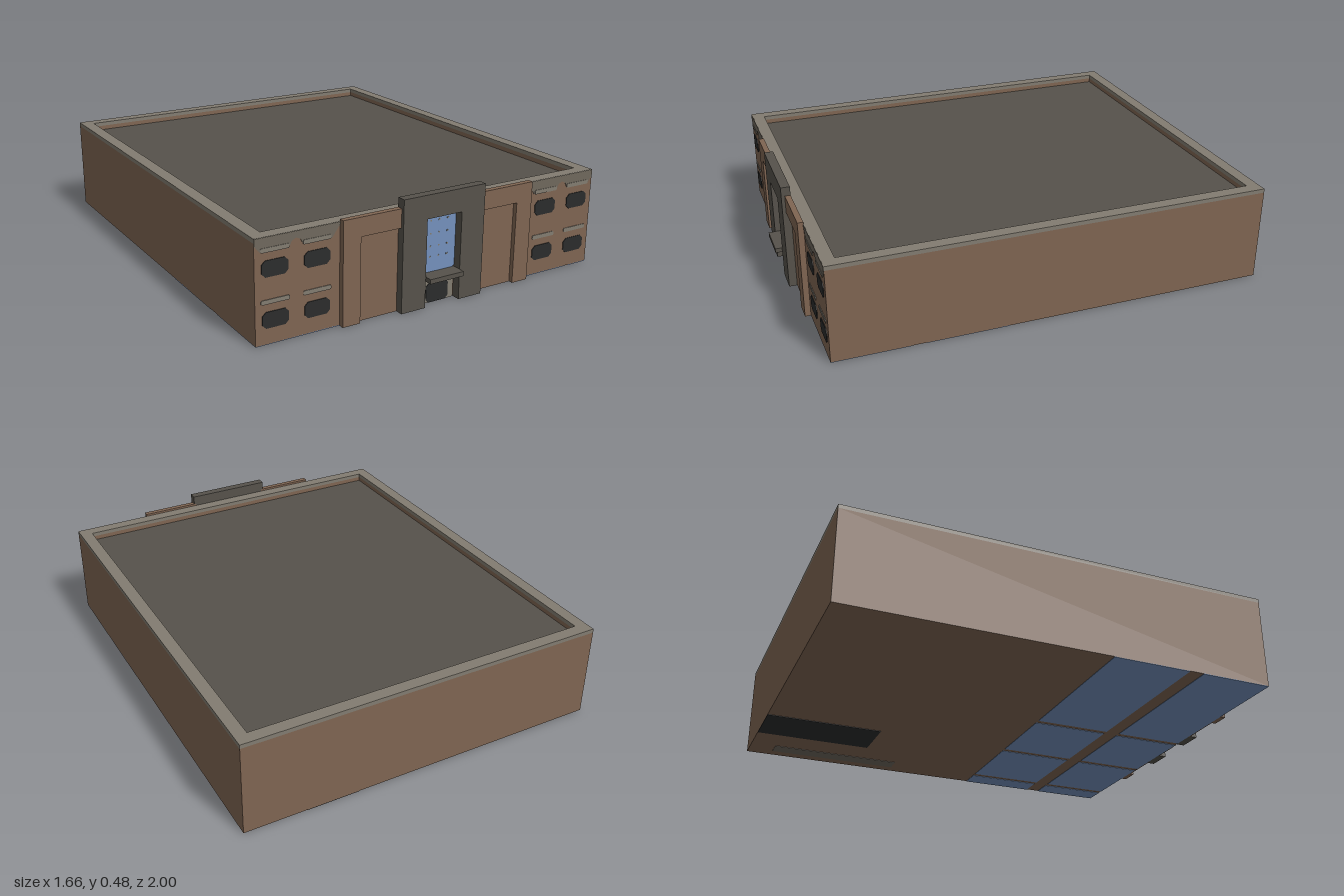
import * as THREE from 'three';

const mat = (name, color) => {
  const m = new THREE.MeshStandardMaterial({ color });
  m.name = name;
  return m;
};

export function createModel() {
  const root = new THREE.Group();
  root.name = 'building';
  const brick = mat('brick', 0x7f6552);
  const trim = mat('stoneTrim', 0x827c71);
  const band = mat('weatheredStone', 0x6f685d);
  const dark = mat('darkConcrete', 0x56524b);
  const black = mat('windowBlack', 0x2b2c2c);
  const blue = mat('blueGlass', 0x7491bc);

  const add = (name, geo, material, parent = root) => {
    const m = new THREE.Mesh(geo, material);
    m.name = name;
    parent.add(m);
    return m;
  };
  // Box given by its minimum and maximum on each axis
  const box = (name, material, x0, x1, y0, y1, z0, z1, parent = root) => {
    const m = add(name, new THREE.BoxGeometry(x1 - x0, y1 - y0, z1 - z0), material, parent);
    m.position.set((x0 + x1) / 2, (y0 + y1) / 2, (z0 + z1) / 2);
    return m;
  };
  const polygon = pts => new THREE.Shape(pts.map(p => new THREE.Vector2(...p)));
  const extrude = (shape, depth) => new THREE.ExtrudeGeometry(shape, { depth, bevelEnabled: false });
  // Thin upright plate with cut corners
  const plate = (name, material, cx, cy, w, h, c, z, parent = root) => {
    const a = w / 2, b = h / 2;
    const s = polygon([[-a + c, -b], [a - c, -b], [a, -b + c], [a, b - c],
      [a - c, b], [-a + c, b], [-a, b - c], [-a, -b + c]]);
    const m = add(name, extrude(s, 0.003), material, parent);
    m.position.set(cx, cy, z);
    return m;
  };

  const W = 0.83, BACK = -1, FRONT = 0.93, RIM = 0.055;

  // Outer walls and parapet cap: rectangular rings raised upwards
  const ring = (name, material, y0, y1) => {
    const d = (FRONT - BACK) / 2, a = W - RIM, b = d - RIM;
    const s = polygon([[-W, -d], [W, -d], [W, d], [-W, d]]);
    s.holes.push(polygon([[-a, -b], [-a, b], [a, b], [a, -b]]));
    const m = add(name, extrude(s, y1 - y0).rotateX(-Math.PI / 2), material);
    m.position.set(0, y0, (FRONT + BACK) / 2);
  };
  ring('outerWalls', brick, 0.002, 0.412);
  ring('parapetCap', trim, 0.412, 0.43);
  box('roof', dark, -W + RIM, W - RIM, 0.36, 0.392, BACK + RIM, FRONT - RIM);
  box('floor', brick, -W + RIM, W - RIM, 0.002, 0.02, BACK + RIM, FRONT - RIM);

  // Wing facades, mirrored left and right
  for (const side of [-1, 1]) {
    const wing = new THREE.Group();
    wing.name = side > 0 ? 'leftWing' : 'rightWing';
    root.add(wing);
    for (const x of [0.565, 0.745]) {
      for (const y of [0.1, 0.305]) {
        plate('window', black, side * x, y, 0.112, 0.066, 0.015, FRONT, wing);
        plate('lintel', trim, side * x, y + 0.074, 0.122, 0.018, 0.004, FRONT + 0.001, wing);
      }
    }
    const pts = [[0.465, 0.429], [0.465, 0.42], [0.5, 0.372], [0.625, 0.372], [0.637, 0.395],
      [0.655, 0.403], [0.673, 0.395], [0.685, 0.372], [0.805, 0.372], [0.829, 0.4], [0.829, 0.429]];
    add('scallopedBand', extrude(polygon(pts.map(([x, y]) => [side * x, y])), 0.002), band, wing)
      .position.z = FRONT;
    // Portal post and recessed brick panel
    const x0 = side > 0 ? 0.385 : -0.465;
    box('portalPost', brick, x0, x0 + 0.08, 0, 0.44, FRONT, 0.955, wing);
    const p0 = side > 0 ? 0.19 : -0.385;
    box('recessedPanel', brick, p0, p0 + 0.195, 0, 0.36, FRONT, 0.935, wing);
    const h0 = side > 0 ? 0.19 : -0.385;
    box('portalHeader', brick, h0, h0 + 0.195, 0.36, 0.44, FRONT, 0.955, wing);
  }

  // Tall entrance surround, open down to the ground
  const surround = polygon([[-0.2, 0], [-0.085, 0], [-0.085, 0.38], [0.085, 0.38],
    [0.085, 0], [0.2, 0], [0.2, 0.48], [-0.2, 0.48]]);
  add('entranceSurround', extrude(surround, 0.04), dark).position.z = FRONT;
  box('canopy', dark, -0.083, 0.083, 0.114, 0.134, FRONT, 1);

  // Glass above the canopy, with small studs
  plate('entranceGlass', blue, 0, 0.257, 0.166, 0.244, 0.008, FRONT + 0.002);
  for (const x of [-0.042, 0, 0.042]) {
    for (const y of [0.2, 0.245, 0.3, 0.355]) {
      box('glassStud', trim, x - 0.004, x + 0.004, y - 0.003, y + 0.003, FRONT + 0.004, FRONT + 0.006);
    }
  }

  // Entrance door
  box('doorSurround', trim, -0.073, 0.08, 0, 0.105, FRONT, FRONT + 0.003);
  plate('door', black, 0, 0.042, 0.11, 0.084, 0.013, FRONT + 0.002);

  // Underside panels; u runs from left to right, v from front to back
  const under = (name, material, u0, u1, v0, v1) => box(name, material,
    W - u1 * 2 * W, W - u0 * 2 * W, 0, 0.003, FRONT - v1 * 1.93, FRONT - v0 * 1.93);
  const splits = [0, 0.07, 0.31, 0.55, 1];
  for (let i = 0; i < 4; i++) {
    for (const [v0, v1] of [[0, 0.17], [0.205, 0.39]]) {
      under('undersidePanel', blue, splits[i] + (i ? 0.008 : 0), splits[i + 1] - (i < 3 ? 0.008 : 0), v0, v1);
    }
  }
  under('undersideHatch', black, 0.168, 0.31, 0.72, 1);
  under('undersideStrip', band, 0.033, 0.078, 0.62, 0.94);

  return root;
}
